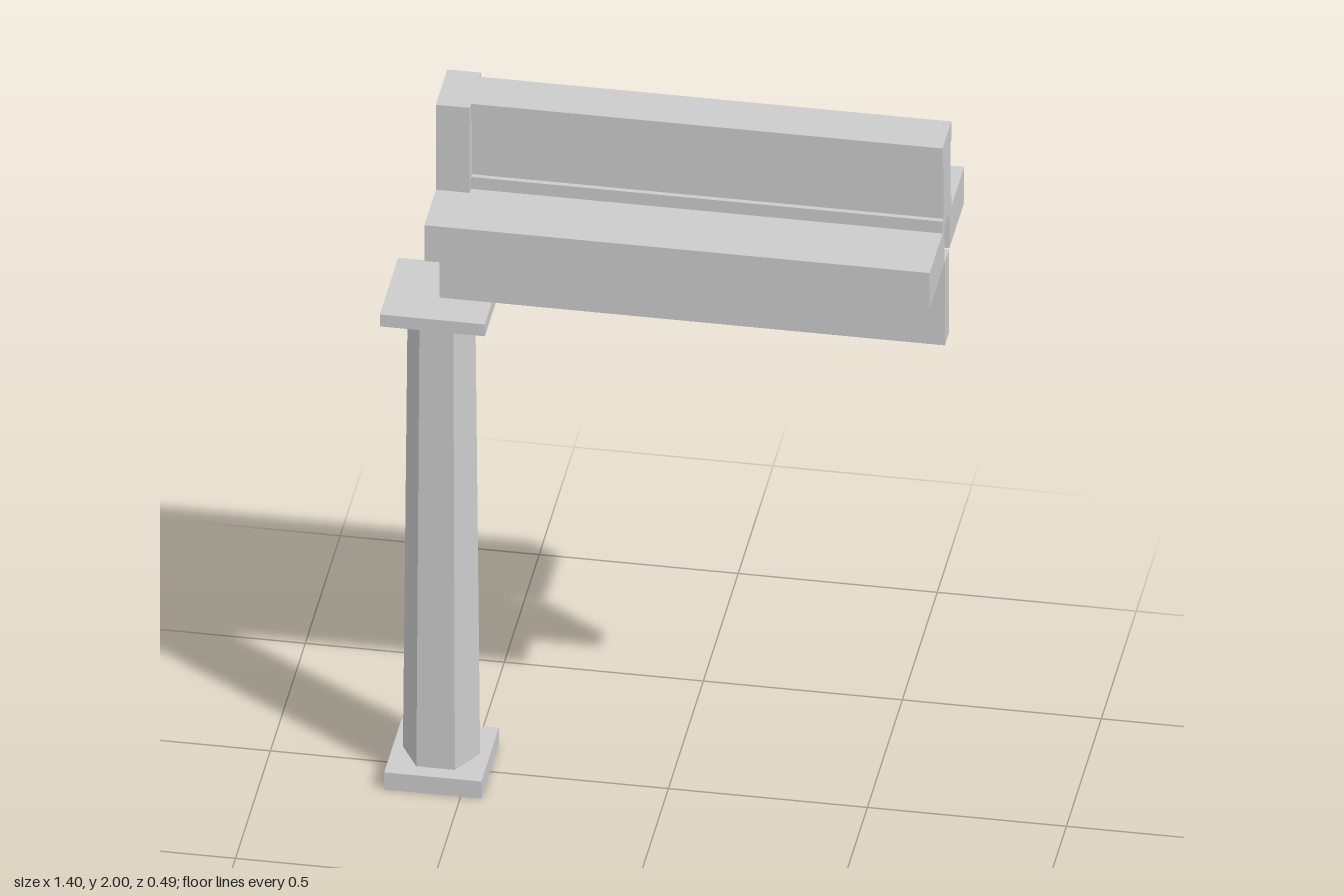
import * as THREE from 'three';

const material = new THREE.MeshStandardMaterial({ color: 0xcccccc, flatShading: true });

// Box given by its lower and upper limits on each axis
function box(name, [x0, x1], [y0, y1], [z0, z1]) {
  const mesh = new THREE.Mesh(new THREE.BoxGeometry(x1 - x0, y1 - y0, z1 - z0), material);
  mesh.name = name;
  mesh.position.set((x0 + x1) / 2, (y0 + y1) / 2, (z0 + z1) / 2);
  return mesh;
}

// Hexagonal tapering pillar between two square plates
function createPillar() {
  const pillar = new THREE.Group();
  pillar.name = 'pillar';
  pillar.position.x = -0.57;
  const shaft = new THREE.Mesh(
    new THREE.CylinderGeometry(0.085, 0.097, 1.315, 6, 1, false, Math.PI / 6), material);
  shaft.name = 'shaft';
  shaft.position.y = 0.05 + 1.315 / 2;
  pillar.add(
    box('basePlate', [-0.122, 0.122], [0, 0.05], [-0.125, 0.125]),
    shaft,
    box('capPlate', [-0.132, 0.132], [1.365, 1.4], [-0.132, 0.132]));
  return pillar;
}

// Beam with side ledges, an open channel and a parapet above
function createBeam() {
  const beam = new THREE.Group();
  beam.name = 'beam';
  const length = [-0.57, 0.7];
  beam.add(
    box('lowerWeb', length, [1.4, 1.645], [-0.03, 0.03]),
    box('leftLedge', length, [1.645, 1.75], [0.035, 0.247]),
    box('rightLedge', length, [1.645, 1.75], [-0.247, -0.035]),
    box('parapetFoot', length, [1.75, 1.785], [-0.063, 0.063]),
    box('parapetWall', length, [1.785, 1.945], [-0.05, 0.05]),
    box('topRail', length, [1.945, 2], [-0.063, 0.063]),
    box('endPost', [-0.57, -0.485], [1.75, 2], [-0.082, 0.082]));
  return beam;
}

export function createModel() {
  const model = new THREE.Group();
  model.name = 'wallOnPillar';
  model.add(createPillar(), createBeam());
  return model;
}
